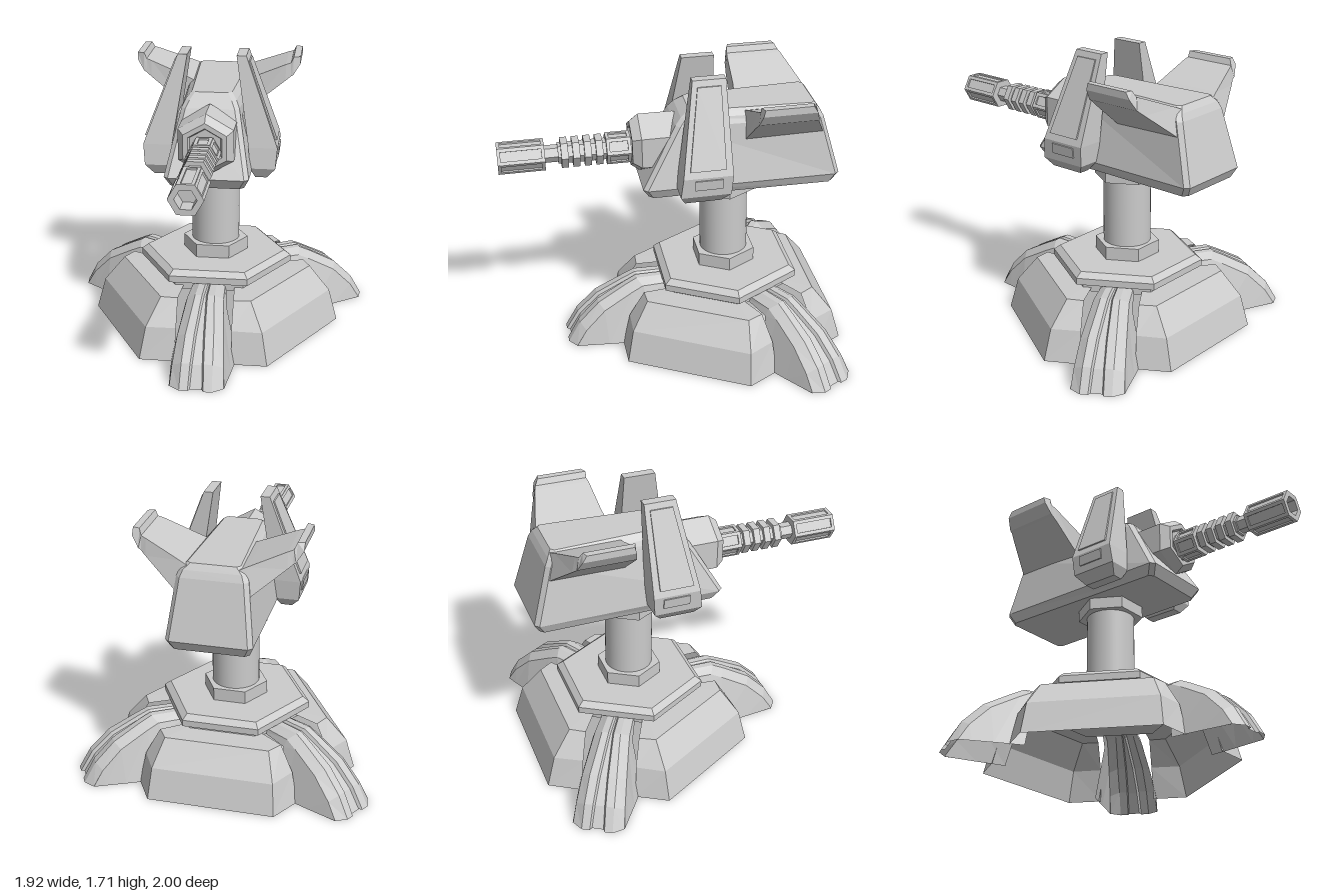
import * as THREE from 'three';

const material = new THREE.MeshStandardMaterial({ color: 0xcccccc, flatShading: true, side: THREE.DoubleSide });
const smooth = new THREE.MeshStandardMaterial({ color: 0xcccccc });

function add(parent, geometry, name, mat = material) {
  const mesh = new THREE.Mesh(geometry, mat);
  mesh.name = name;
  parent.add(mesh);
  return mesh;
}

// Skin a list of equal-length rings of [x, y, z] points; solid ones are closed and capped
function loft(rings, solid = true) {
  const out = [];
  const n = rings[0].length;
  const tri = (a, b, c) => out.push(...a, ...b, ...c);
  for (let i = 0; i < rings.length - 1; i++) {
    for (let j = 0; j < (solid ? n : n - 1); j++) {
      const k = (j + 1) % n;
      const [a, b, c, d] = [rings[i][j], rings[i][k], rings[i + 1][k], rings[i + 1][j]];
      tri(a, b, c);
      tri(a, c, d);
    }
  }
  if (solid) {
    const first = rings[0], last = rings[rings.length - 1];
    for (let j = 1; j < n - 1; j++) {
      tri(first[0], first[j + 1], first[j]);
      tri(last[0], last[j], last[j + 1]);
    }
  }
  const g = new THREE.BufferGeometry();
  g.setAttribute('position', new THREE.Float32BufferAttribute(out, 3));
  g.computeVertexNormals();
  return g;
}

// Horizontal hexagonal prism between two heights
function hexPrism(rTop, rBottom, y0, y1) {
  return new THREE.CylinderGeometry(rTop, rBottom, y1 - y0, 6).rotateY(Math.PI / 6).translate(0, (y0 + y1) / 2, 0);
}

// Six-sided turned form along z from [radius, z] pairs
function hexTurned(profile, y, turn) {
  const pts = profile.map(([r, z]) => new THREE.Vector2(r, z));
  return new THREE.LatheGeometry(pts, 6).toNonIndexed().rotateY(turn).rotateX(Math.PI / 2).translate(0, y, 0);
}

// Raised rectangular frame, facing +z
function frame(w, h, border, depth) {
  const rect = (T, a, b) => new T([[-a, -b], [a, -b], [a, b], [-a, b]].map(p => new THREE.Vector2(...p)));
  const shape = rect(THREE.Shape, w / 2, h / 2);
  shape.holes.push(rect(THREE.Path, w / 2 - border, h / 2 - border));
  return new THREE.ExtrudeGeometry(shape, { depth, bevelEnabled: false });
}

// Slotted leg: stations [r, y, strip half-width, shoulder half-width, slot half-width, foot half-width, foot y]
function legGeometry() {
  const stations = [
    [0.985, 0, 0.092, 0.152, 0.034, 0.155, 0], [0.91, 0.13, 0.088, 0.145, 0.028, 0.162, 0],
    [0.79, 0.25, 0.08, 0.132, 0.02, 0.175, 0], [0.62, 0.345, 0.062, 0.112, 0.01, 0.19, 0],
    [0.55, 0.38, 0.056, 0.105, 0.006, 0.12, 0.3], [0.36, 0.38, 0.05, 0.095, 0.004, 0.1, 0.32],
  ];
  return loft(stations.map(([r, y, wt, we, ws, wf, yf]) => {
    const at = (t, d) => (y === 0 ? [t, 0, r - d] : [t, y - d * 0.7, r - d * 0.7]);
    const half = [[wf, yf, r - 0.045], at(we, 0.045), at(wt, 0), at(ws + 0.01, 0), at(ws, 0.02)];
    return [...half, ...half.map(([x, py, z]) => [-x, py, z]).reverse()];
  }), false);
}

// Curved skirt panel: levels [y, front distance, front half-width, side distance, side half-width]
function skirtGeometry() {
  const levels = [
    [0, 0.65, 0.383, 0.473, 0.487], [0.19, 0.6, 0.365, 0.445, 0.45],
    [0.34, 0.485, 0.315, 0.4, 0.37], [0.345, 0.33, 0.2, 0.3, 0.22],
  ];
  return loft(levels.map(([y, n, t, sn, st]) => [[-st, y, sn], [-t, y, n], [t, y, n], [st, y, sn]]), false);
}

function buildBase() {
  const base = new THREE.Group();
  base.name = 'base';
  for (let i = 0; i < 3; i++) {
    add(base, legGeometry(), 'leg').rotation.y = i * Math.PI * 2 / 3;
    add(base, skirtGeometry(), 'skirtPanel').rotation.y = (i * 2 + 1) * Math.PI / 3;
  }
  add(base, hexPrism(0.405, 0.405, 0.32, 0.38), 'lowerDeck');
  add(base, hexPrism(0.46, 0.46, 0.38, 0.42), 'deck');
  add(base, hexPrism(0.42, 0.46, 0.42, 0.45), 'deckBevel');
  add(base, hexPrism(0.195, 0.195, 0.45, 0.53), 'lowerCollar');
  add(base, new THREE.CylinderGeometry(0.143, 0.143, 0.46, 40).translate(0, 0.73, 0), 'column', smooth);
  add(base, hexPrism(0.195, 0.195, 0.94, 1.015), 'upperCollar');
  return base;
}

function buildHead() {
  const head = new THREE.Group();
  head.name = 'turretHead';

  // Body: chamfered plan sections [y, front half-width, back half-width, front, back, chamfer]
  const levels = [
    [1.01, 0.21, 0.225, 0.475, -0.61, 0.025], [1.07, 0.24, 0.25, 0.51, -0.642, 0.025],
    [1.42, 0.165, 0.205, 0.305, -0.55, 0.025], [1.46, 0.145, 0.19, 0.27, -0.53, 0.025],
    [1.495, 0.115, 0.15, 0.22, -0.505, 0.02],
  ];
  add(head, loft(levels.map(([y, wf, wb, f, b, c]) => [
    [wb, y, b + c], [wf, y, f - c], [wf - c, y, f], [c - wf, y, f],
    [-wf, y, f - c], [-wb, y, b + c], [c - wb, y, b], [wb - c, y, b],
  ])), 'body');

  for (const s of [1, -1]) {
    // Rear fin: sections [x, back bottom, back top, front, bottom, top]
    const fin = [
      [0.12, -0.57, -0.52, -0.08, 1.25, 1.47], [0.19, -0.55, -0.5, -0.09, 1.32, 1.5],
      [0.4, -0.46, -0.44, -0.1, 1.49, 1.585], [0.43, -0.445, -0.43, -0.105, 1.515, 1.595],
      [0.445, -0.445, -0.41, -0.105, 1.525, 1.63], [0.485, -0.425, -0.4, -0.12, 1.59, 1.63],
    ];
    add(head, loft(fin.map(([x, bb, bt, f, y0, y1]) =>
      [[s * x, y0, bb], [s * x, y0, f], [s * x, y1, f - 0.01], [s * x, y1, bt]])), 'rearFin');

    // Side shield: levels [y, inner x, outer x, back, front]
    const slab = rows => loft(rows.map(([y, i, o, b, f]) =>
      [[s * i, y, b], [s * i, y, f], [s * o, y, f], [s * o, y, b]]));
    add(head, slab([
      [1.71, 0.14, 0.195, 0.025, 0.215], [1.2, 0.22, 0.385, 0.02, 0.305],
      [1.08, 0.23, 0.375, 0.03, 0.32], [1.02, 0.26, 0.325, 0.08, 0.29],
    ]), 'sideShield');
    add(head, slab([[1.675, 0.18, 0.216, 0.055, 0.19], [1.24, 0.33, 0.381, 0.06, 0.265]]), 'shieldPanel');
    add(head, slab([[1.185, 0.34, 0.392, 0.08, 0.24], [1.125, 0.34, 0.386, 0.08, 0.24]]), 'shieldVent');
    add(head, new THREE.BoxGeometry(0.16, 0.22, 0.17).translate(s * 0.17, 1.26, 0.15), 'shieldBracket');
  }

  // Gun housing with a shallow recess around the barrel
  add(head, hexTurned([[0, 0.26], [0.16, 0.26], [0.18, 0.3], [0.18, 0.5], [0.14, 0.55], [0.11, 0.55], [0.1, 0.53], [0, 0.53]],
    1.27, 0), 'gunHousing');

  // Barrel: breech, ribs, neck and hollow muzzle
  const profile = [[0, 0.5], [0.082, 0.5], [0.082, 0.69], [0.062, 0.69]];
  for (let i = 0; i < 4; i++) {
    const z = 0.71 + i * 0.066;
    profile.push([0.062, z], [0.088, z], [0.088, z + 0.04], [0.062, z + 0.04]);
  }
  profile.push([0.062, 0.965], [0.05, 0.965], [0.05, 1.04], [0.082, 1.04], [0.082, 1.305], [0.058, 1.305], [0.058, 1.2], [0, 1.2]);
  add(head, hexTurned(profile, 1.25, Math.PI / 6), 'barrel');

  // Raised frames on the breech and muzzle flats
  for (let i = 0; i < 6; i++) {
    for (const [z, len, name] of [[1.1725, 0.265, 'muzzleFrame'], [0.62, 0.14, 'breechFrame']]) {
      const g = frame(0.09, len, 0.018, 0.01).rotateX(-Math.PI / 2).translate(0, 0.0705, z);
      g.rotateZ(i * Math.PI / 3).translate(0, 1.25, 0);
      add(head, g, name);
    }
  }
  return head;
}

export function createModel() {
  const model = new THREE.Group();
  model.name = 'turret';
  const assembly = new THREE.Group();
  assembly.name = 'assembly';
  assembly.add(buildBase(), buildHead());
  assembly.rotation.y = THREE.MathUtils.degToRad(42);
  assembly.position.set(0.012, 0, -0.035);
  model.add(assembly);
  return model;
}
